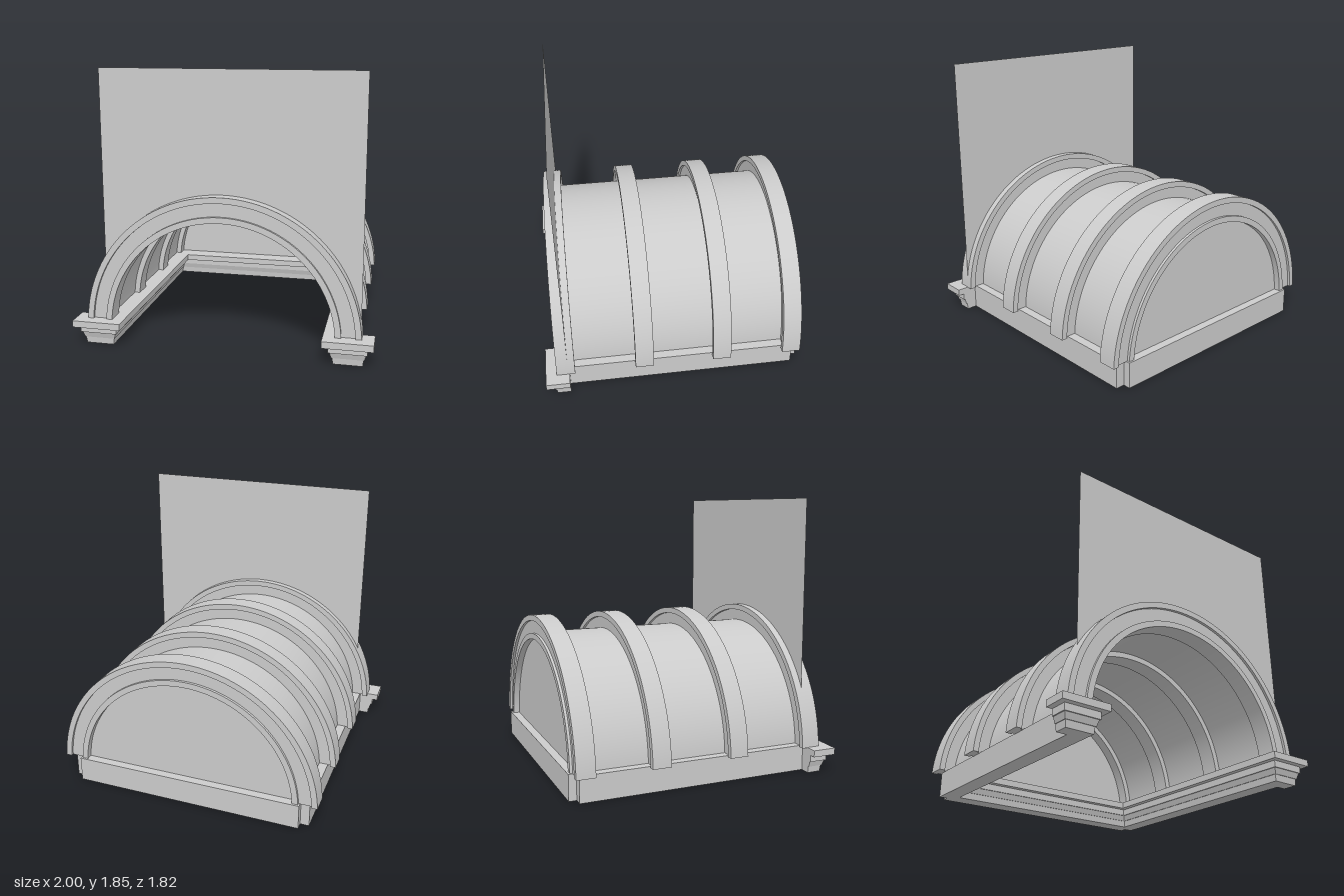
import * as THREE from 'three';
import { toCreasedNormals } from 'three/addons/utils/BufferGeometryUtils.js';

const CY = 0.13;      // height of the arch centre
const SPRING = 0.172; // height at which the arches start
const material = new THREE.MeshStandardMaterial({ color: 0xcccccc, side: THREE.DoubleSide });

function addMesh(parent, name, geometry) {
  const mesh = new THREE.Mesh(geometry, material);
  mesh.name = name;
  parent.add(mesh);
  return mesh;
}

// Angle at which a circle of radius r crosses the springing line
const startAngle = (r) => Math.asin((SPRING - CY) / r);

// Half ring between two radii, extruded from z0 to z1
function archRing(r0, r1, z0, z1) {
  const a = startAngle(r1), b = startAngle(r0);
  const shape = new THREE.Shape();
  shape.absarc(0, CY, r1, a, Math.PI - a, false);
  shape.absarc(0, CY, r0, Math.PI - b, b, true);
  shape.closePath();
  const geo = new THREE.ExtrudeGeometry(shape, { depth: z1 - z0, bevelEnabled: false, curveSegments: 48 });
  geo.translate(0, 0, z0);
  return toCreasedNormals(geo, 0.5);
}

// Cornice steps: [bottom y, bottom outset, top y, top outset]
const STEPS = [
  [0, 0, 0.045, 0.005],
  [0.045, 0.01, 0.085, 0.022],
  [0.085, 0.03, 0.13, 0.03],
  [0.13, 0.07, 0.175, 0.07],
];

// Stepped moulding over a rectangle; "out" tells which sides grow: -x, +x, -z, +z
function moulding(name, [x0, x1, z0, z1], out) {
  const group = new THREE.Group();
  group.name = name;
  STEPS.forEach(([y0, o0, y1, o1], i) => {
    const geo = new THREE.BoxGeometry(1, 1, 1);
    const p = geo.attributes.position;
    for (let k = 0; k < p.count; k++) {
      const top = p.getY(k) > 0;
      const o = top ? o1 : o0;
      p.setXYZ(k,
        p.getX(k) < 0 ? x0 - o * out[0] : x1 + o * out[1],
        top ? y1 : y0,
        p.getZ(k) < 0 ? z0 - o * out[2] : z1 + o * out[3]);
    }
    geo.computeVertexNormals();
    addMesh(group, `${name}Step${i + 1}`, geo);
  });
  return group;
}

export function createModel() {
  const model = new THREE.Group();
  model.name = 'barrelVault';

  // Thin barrel shell
  addMesh(model, 'vaultShell', archRing(0.788, 0.8, -0.85, 0.78));

  // Ribs with a shallow channel between two lips on each face
  [0.765, 0.215, -0.335, -0.835].forEach((z, i) => {
    const rib = new THREE.Group();
    rib.name = `rib${i + 1}`;
    const h = 0.064, recess = 0.018;
    addMesh(rib, 'outerLip', archRing(0.88, 0.92, z - h, z + h));
    addMesh(rib, 'channel', archRing(0.79, 0.88, z - h + recess, z + h - recess));
    addMesh(rib, 'innerLip', archRing(0.75, 0.79, z - h, z + h));
    model.add(rib);
  });

  // Side rails and the front corner blocks they end in
  for (const s of [1, -1]) {
    const side = s > 0 ? 'left' : 'right';
    const flip = (a, b) => (s > 0 ? [a, b] : [-b, -a]);
    model.add(moulding(`${side}Rail`, [...flip(0.74, 0.86), -0.86, 0.74], s > 0 ? [1, 0, 0, 0] : [0, 1, 0, 0]));
    model.add(moulding(`${side}FrontBlock`, [...flip(0.74, 0.93), 0.74, 0.835], [1, 1, 0, 1]));
  }

  // Rear beam
  model.add(moulding('rearBeam', [-0.8, 0.8, -0.912, -0.79], [0, 0, 0, 1]));

  // Half-round rear wall
  const a = startAngle(0.78);
  const lunette = new THREE.Shape();
  lunette.absarc(0, CY, 0.78, a, Math.PI - a, false);
  lunette.closePath();
  addMesh(model, 'rearWall', new THREE.ShapeGeometry(lunette, 48)).position.z = -0.855;

  // Flat front wall with an arched opening, slightly off centre
  const b = startAngle(0.8);
  const wall = new THREE.Shape();
  wall.moveTo(0.91, SPRING);
  wall.lineTo(0.91, 1.85);
  wall.lineTo(-0.81, 1.85);
  wall.lineTo(-0.81, SPRING);
  wall.absarc(0, CY, 0.8, Math.PI - b, b, true);
  wall.closePath();
  addMesh(model, 'frontWall', new THREE.ShapeGeometry(wall, 48)).position.z = 0.75;

  return model;
}
